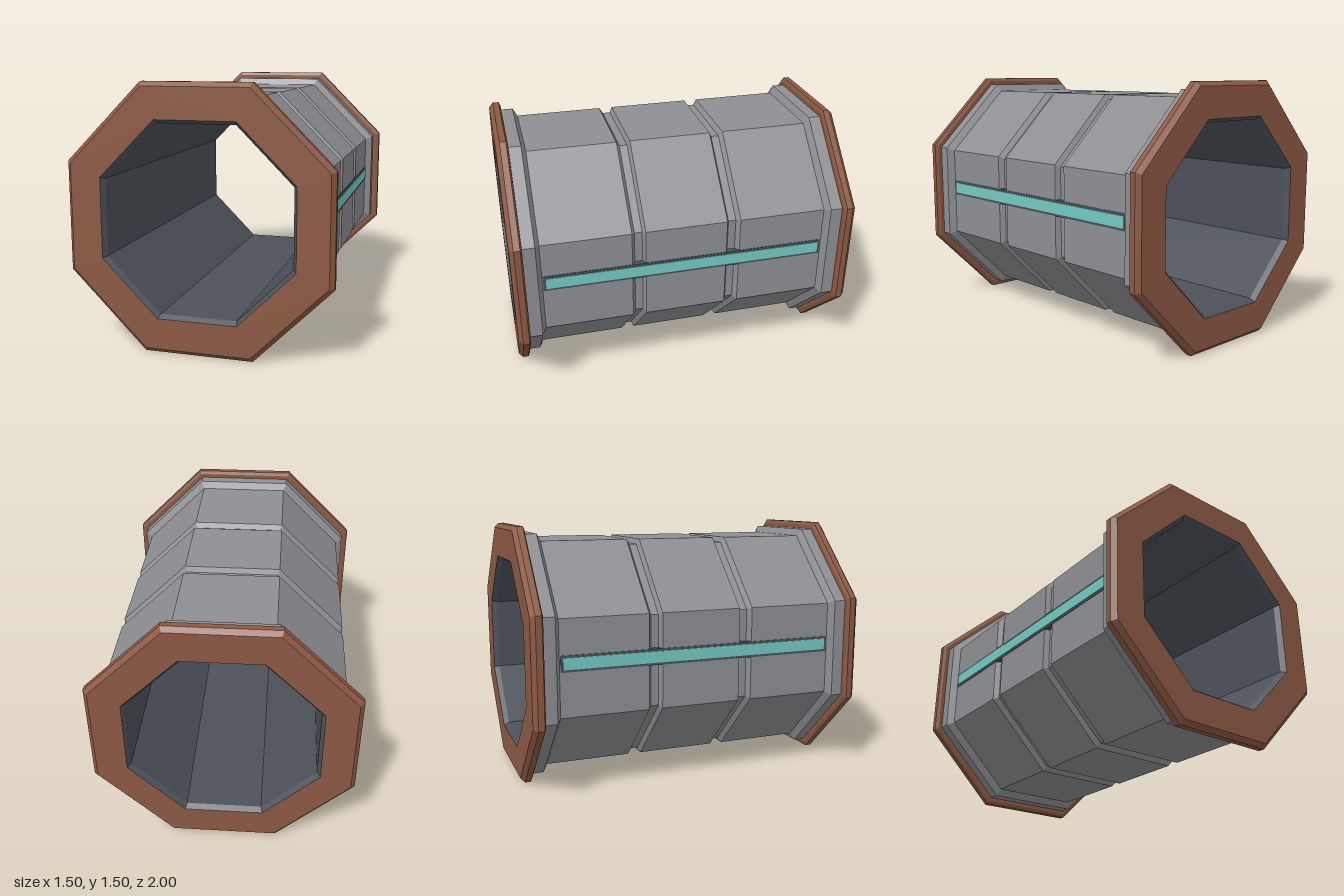
import * as THREE from 'three';

const CENTER_Y = 0.75;
const material = (name, color) => {
  const m = new THREE.MeshStandardMaterial({ color });
  m.name = name;
  return m;
};

// Octagonal ring along z from [apothem, z] pairs; z rising faces outward, z falling faces inward
function octagon(name, pairs, mat) {
  const k = 1 / Math.cos(Math.PI / 8);
  const points = pairs.map(([r, z]) => new THREE.Vector2(r * k, z));
  const geo = new THREE.LatheGeometry(points, 8, Math.PI / 8).rotateX(Math.PI / 2).toNonIndexed();
  geo.computeVertexNormals();
  const mesh = new THREE.Mesh(geo, mat);
  mesh.name = name;
  return mesh;
}

const mirrorZ = (pairs) => pairs.map(([r, z]) => [r, -z]).reverse();

export function createModel() {
  const steel = material('steel grey', 0x8e8f93);
  const rust = material('rust brown', 0x8d5943);
  const dark = material('dark slate', 0x4c525b);
  const teal = material('teal', 0x73cac3);

  const group = new THREE.Group();
  group.name = 'octagonalTunnel';

  // Outer hull: end collars and two recessed grooves
  const half = [
    [0.665, 0.24], [0.635, 0.255], [0.635, 0.30], [0.665, 0.32],
    [0.665, 0.835], [0.707, 0.86], [0.707, 0.932],
  ];
  group.add(octagon('hull', [...mirrorZ(half), ...half], steel));

  // Bevelled end flanges
  const flange = [
    [0.69, 0.93], [0.73, 0.93], [0.75, 0.94], [0.75, 0.975], [0.725, 1], [0.55, 1],
  ];
  group.add(octagon('frontFlange', flange, rust));
  group.add(octagon('backFlange', mirrorZ(flange), rust));

  // Inner lining with chamfered lips
  group.add(octagon('lining', [[0.55, 1], [0.53, 0.97], [0.53, -0.97], [0.55, -1]], dark));

  // Framed light strip on each side
  const box = (name, w, h, d, x, mat) => {
    const mesh = new THREE.Mesh(new THREE.BoxGeometry(w, h, d), mat);
    mesh.position.set(x, CENTER_Y + 0.027, 0);
    mesh.name = name;
    group.add(mesh);
  };
  for (const [side, s] of [['left', 1], ['right', -1]]) {
    box(side + 'StripFrame', 0.04, 0.094, 1.66, s * 0.648, dark);
    box(side + 'LightStrip', 0.008, 0.066, 1.63, s * 0.668, teal);
  }

  // Raise the round parts onto the ground
  for (const part of group.children) part.position.y = part.position.y || CENTER_Y;
  return group;
}
